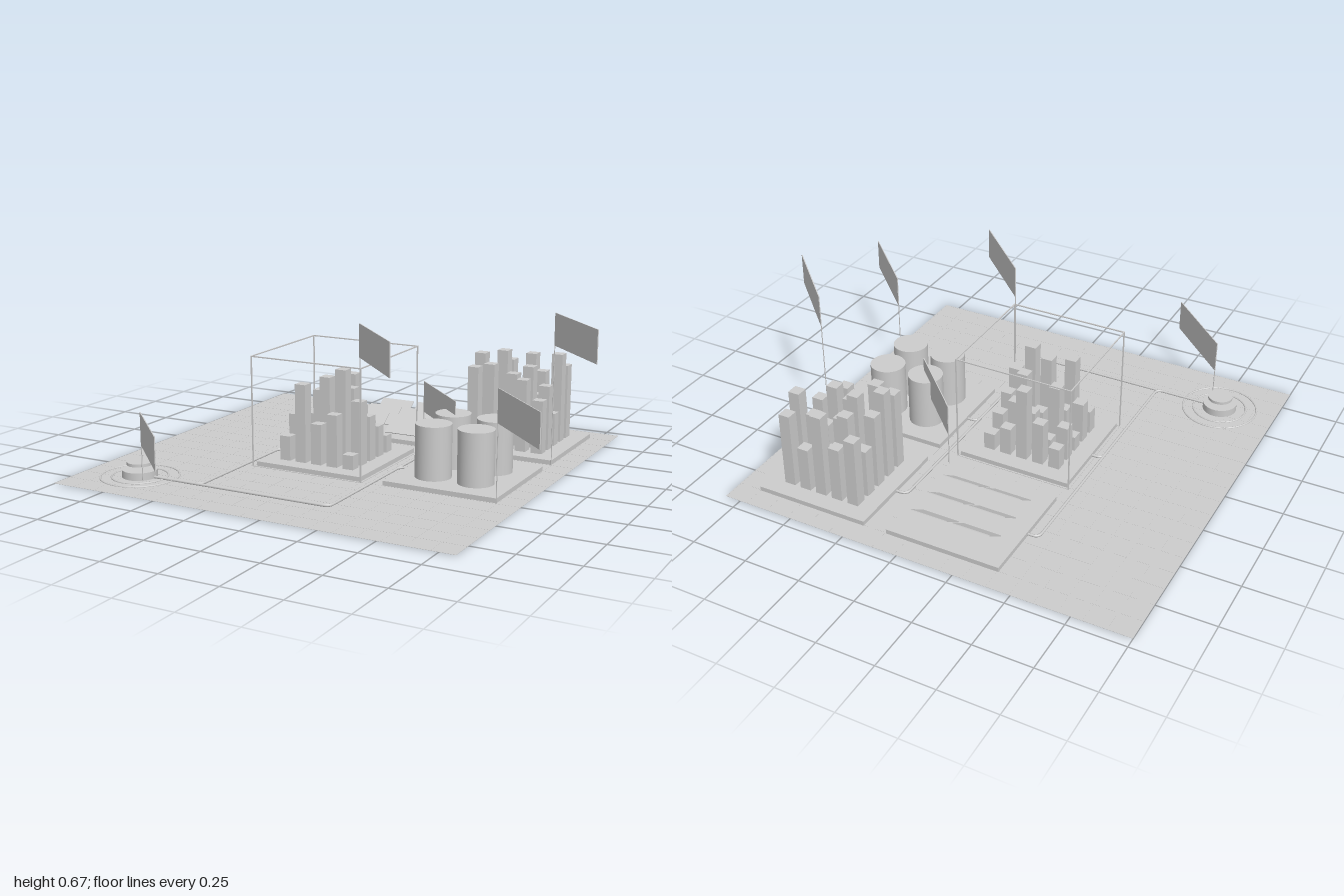
import * as THREE from 'three';

export function createModel() {
  const root = new THREE.Group();
  root.name = 'industrialSite';
  const grey = new THREE.MeshStandardMaterial({ color: 0xcccccc });
  grey.name = 'plain grey';
  const greySheet = new THREE.MeshStandardMaterial({ color: 0xcccccc, side: THREE.DoubleSide });
  greySheet.name = 'plain grey sheet';

  const add = (name, geometry, x, y, z, parent = root, material = grey) => {
    const mesh = new THREE.Mesh(geometry, material);
    mesh.name = name;
    mesh.position.set(x, y, z);
    parent.add(mesh);
    return mesh;
  };
  const box = (name, w, h, d, x, y, z, parent) =>
    add(name, new THREE.BoxGeometry(w, h, d), x, y, z, parent);
  const group = (name) => {
    const g = new THREE.Group();
    g.name = name;
    root.add(g);
    return g;
  };

  // Ground sheet with a fine grid of seams
  const size = 1.82, gx = -0.09, gz = -0.045, groundY = 0.003;
  add('ground', new THREE.PlaneGeometry(size, size).rotateX(-Math.PI / 2), gx, groundY, gz, root, greySheet);
  const grid = group('groundGrid');
  for (let i = 0; i <= 18; i++) {
    const t = (i / 18 - 0.5) * (size - 0.003);
    box('gridLine', 0.003, 0.001, size, gx + t, groundY, gz, grid);
    box('gridLine', size, 0.001, 0.003, gx, groundY, gz + t, grid);
  }

  // Four square pads
  const colX = [-0.147, 0.463], rowZ = [-0.605, 0.001];
  const padTop = 0.023;
  for (const x of colX) for (const z of rowZ) {
    box('pad', 0.505, padTop - 0.003, 0.505, x, (padTop + 0.003) / 2, z);
  }

  // Tower blocks, rows listed from back to front
  const towers = (name, cx, cz, heights) => {
    const g = group(name);
    heights.forEach((row, j) => row.forEach((top, i) => {
      const h = top - padTop;
      box('tower', 0.05, h, 0.05, cx + (i - 2) * 0.0768, padTop + h / 2, cz + (j - 2) * 0.0768, g);
    }));
  };
  towers('backTowers', colX[1], rowZ[0], [
    [0.33, 0.27, 0.40, 0.22, 0.36],
    [0.24, 0.38, 0.19, 0.34, 0.425],
    [0.36, 0.435, 0.30, 0.25, 0.17],
    [0.43, 0.21, 0.35, 0.39, 0.31],
    [0.38, 0.40, 0.17, 0.345, 0.26],
  ]);
  towers('frontTowers', colX[0], rowZ[1], [
    [0.12, 0.22, 0.36, 0.15, 0.10],
    [0.18, 0.10, 0.21, 0.24, 0.16],
    [0.09, 0.31, 0.17, 0.335, 0.22],
    [0.21, 0.16, 0.39, 0.43, 0.30],
    [0.13, 0.365, 0.20, 0.25, 0.085],
  ]);

  // Tilted solar panels
  const solar = group('solarPanels');
  for (const x of [-0.237, -0.047]) for (const z of [-0.732, -0.603, -0.473]) {
    box('solarPanel', 0.165, 0.004, 0.115, x, 0.06, z, solar).rotation.x = 0.62;
  }

  // Storage tanks
  const tanks = group('tanks');
  for (const sx of [-1, 1]) for (const sz of [-1, 1]) {
    add('tank', new THREE.CylinderGeometry(0.077, 0.077, 0.228, 40),
      colX[1] + sx * 0.096, padTop + 0.114, 0.002 + sz * 0.097, tanks);
  }

  // Wire frame around the front towers
  const frame = group('outlineFrame');
  const fw = 0.53, fh = 0.488, bar = 0.005, half = (fw - bar) / 2;
  for (const s of [-1, 1]) {
    for (const y of [bar / 2, fh - bar / 2]) {
      box('frameBar', fw, bar, bar, colX[0], y, 0.003 + s * half, frame);
      box('frameBar', bar, bar, fw, colX[0] + s * half, y, 0.003, frame);
    }
    for (const t of [-1, 1]) {
      box('framePost', bar, fh, bar, colX[0] + s * half, fh / 2, 0.003 + t * half, frame);
    }
  }

  // Round hub with floating disc and ground rings
  const hx = -0.75, hz = 0.612;
  const hub = group('hub');
  add('hubBase', new THREE.CylinderGeometry(0.075, 0.075, 0.032, 40), hx, 0.019, hz, hub);
  add('hubDisc', new THREE.CylinderGeometry(0.054, 0.054, 0.013, 40), hx, 0.061, hz, hub);
  for (const r of [0.118, 0.165]) {
    add('hubRing', new THREE.TorusGeometry(r, 0.004, 8, 64).rotateX(Math.PI / 2), hx, 0.004, hz, hub);
  }

  // Pipes from the hub to each pad, with rounded corners
  const pipes = group('pipes');
  const v = (x, z) => new THREE.Vector3(x, 0.009, z);
  const pipe = (turnX, endX, endZ) => {
    const r = 0.03, path = new THREE.CurvePath();
    const a = v(turnX - r, hz), b = v(turnX, hz - r), c = v(turnX, endZ + r), d = v(turnX + r, endZ);
    path.add(new THREE.LineCurve3(v(hx + 0.07, hz), a));
    path.add(new THREE.QuadraticBezierCurve3(a, v(turnX, hz), b));
    path.add(new THREE.LineCurve3(b, c));
    path.add(new THREE.QuadraticBezierCurve3(c, v(turnX, endZ), d));
    path.add(new THREE.LineCurve3(d, v(endX, endZ)));
    add('pipe', new THREE.TubeGeometry(path, 160, 0.006, 8), 0, 0, 0, pipes);
  };
  for (const z of rowZ) {
    pipe(-0.445, -0.395, z);
    pipe(0.163, 0.215, z);
  }

  // Diagonal blank signs on thin poles
  const sign = (x, z, bottom) => {
    const g = group('sign');
    add('signPole', new THREE.CylinderGeometry(0.002, 0.002, bottom + 0.14, 6), x, (bottom + 0.14) / 2, z, g);
    box('signBoard', 0.4, 0.14, 0.004, x + 0.1405, bottom + 0.07, z + 0.1405, g).rotation.y = -Math.PI / 4;
  };
  sign(0.108, -0.348, 0.17);
  sign(0.717, -0.348, 0.53);
  sign(0.108, 0.258, 0.53);
  sign(0.717, 0.258, 0.33);
  sign(-0.695, 0.667, 0.157);

  return root;
}
